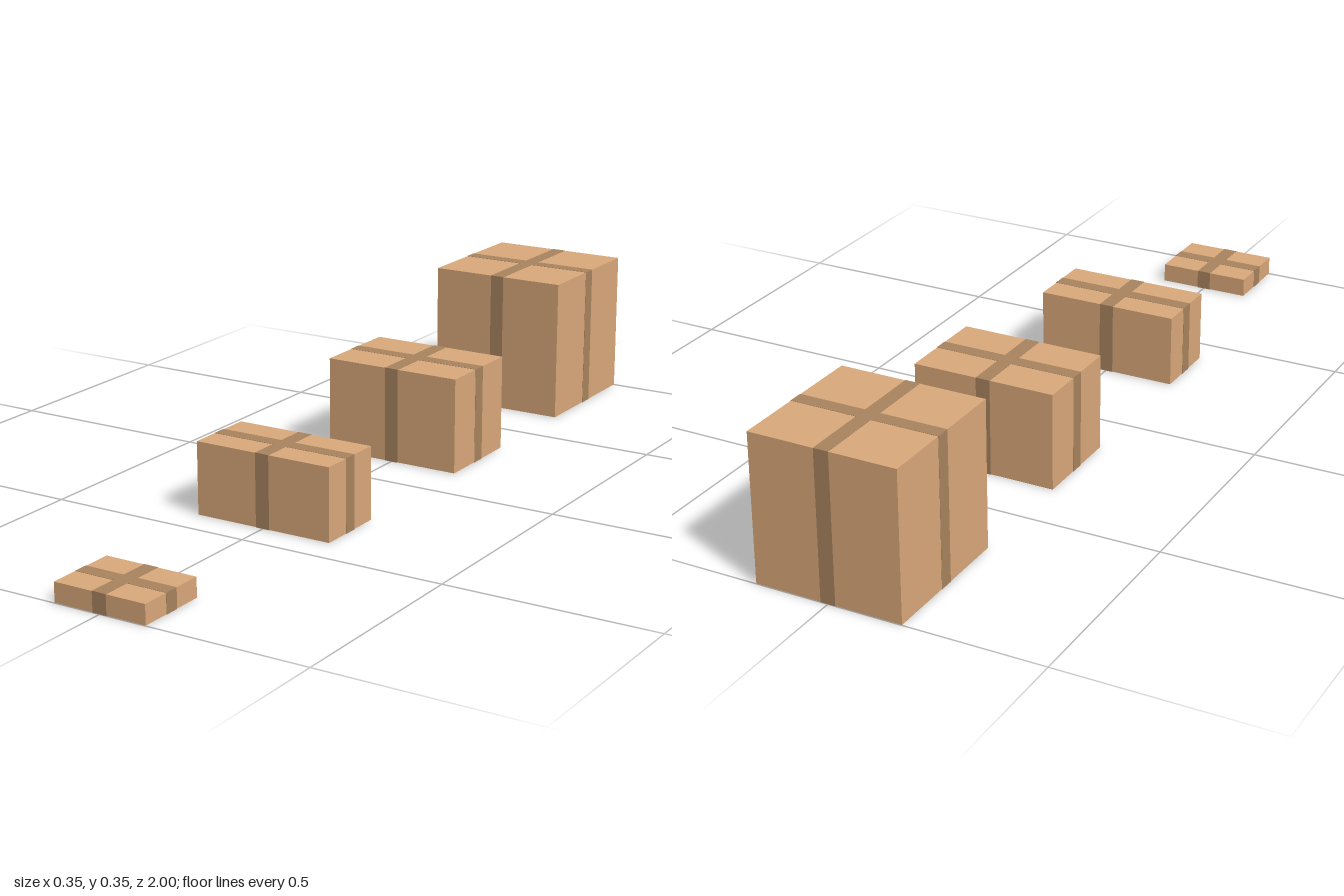
import * as THREE from 'three';

const TAPE_WIDTH = 0.035;
const TAPE_THICKNESS = 0.0006;

const cardboard = new THREE.MeshStandardMaterial({ color: 0xdbaa7b });
const tape = new THREE.MeshStandardMaterial({ color: 0xaa8560 });

function addBlock(parent, name, w, h, d, y, material) {
  const mesh = new THREE.Mesh(new THREE.BoxGeometry(w, h, d), material);
  mesh.name = name;
  mesh.position.y = y;
  parent.add(mesh);
}

// A closed carton with two bands of tape crossing on its top and bottom
function makeCarton(name, w, h, d) {
  const carton = new THREE.Group();
  carton.name = name;
  const inset = 2 * TAPE_THICKNESS;
  addBlock(carton, 'cardboardBox', w - inset, h - inset, d - inset, h / 2, cardboard);
  addBlock(carton, 'lengthwiseTape', w, h, TAPE_WIDTH, h / 2, tape);
  addBlock(carton, 'crosswiseTape', TAPE_WIDTH, h, d, h / 2, tape);
  return carton;
}

export function createModel() {
  const model = new THREE.Group();
  model.name = 'cartonSet';

  // Row of cartons from the smallest at the front to the largest at the back
  const cartons = [
    ['flatCarton', 0.23, 0.047, 0.174, 0.913],
    ['smallCarton', 0.348, 0.174, 0.174, 0.333],
    ['mediumCarton', 0.348, 0.232, 0.232, -0.246],
    ['largeCarton', 0.348, 0.348, 0.348, -0.826],
  ];
  for (const [name, w, h, d, z] of cartons) {
    const carton = makeCarton(name, w, h, d);
    carton.position.z = z;
    model.add(carton);
  }
  return model;
}
